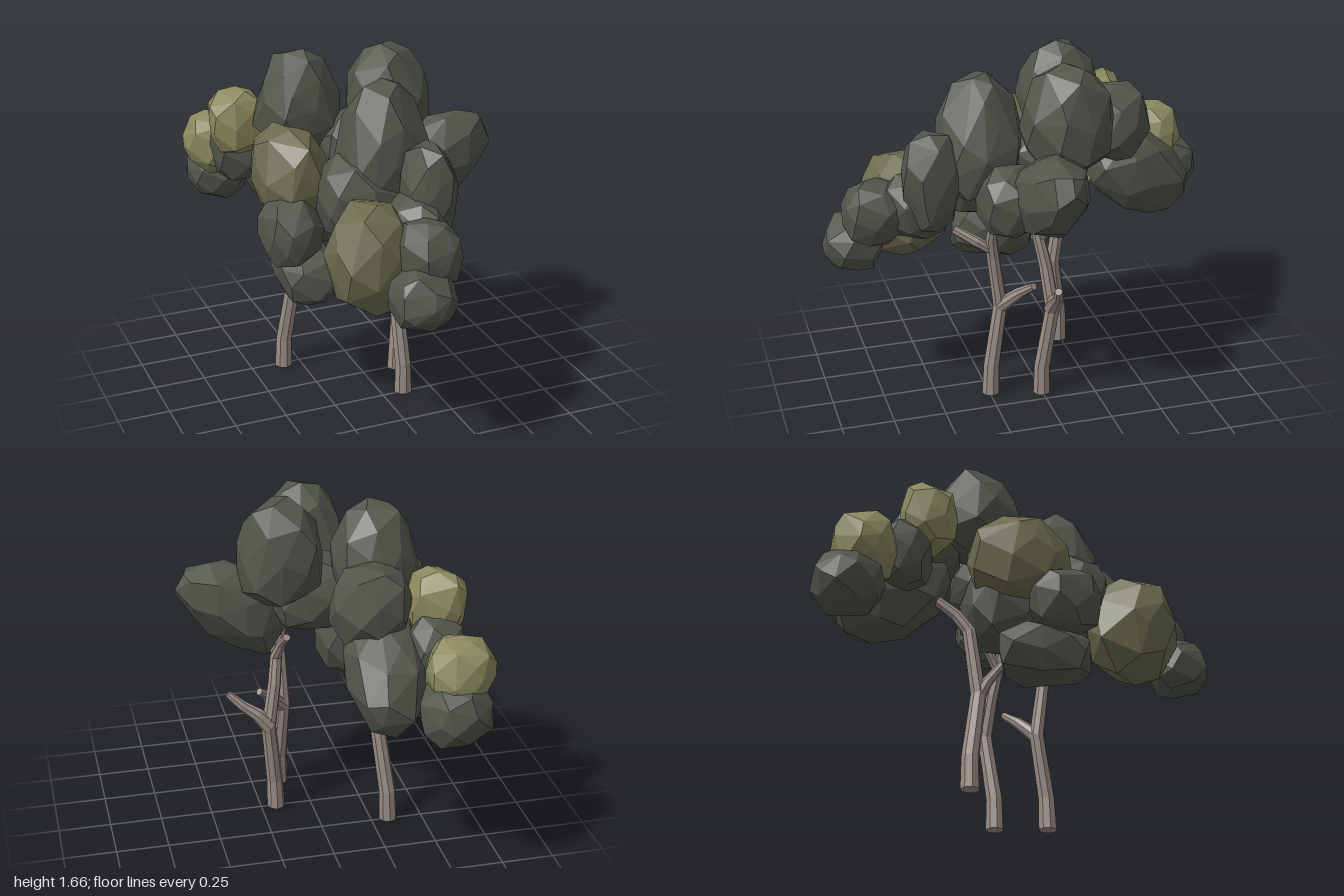
import * as THREE from 'three';
import { ConvexGeometry } from 'three/addons/geometries/ConvexGeometry.js';

const mat = (color) => new THREE.MeshStandardMaterial({ color, flatShading: true });
const DARK = mat(0x51554a), OLIVE = mat(0x6c6b4f), LIGHT = mat(0x8a895f), BARK = mat(0x998c85);

// small seeded generator
function seeded(seed) {
  let s = seed * 7919 + 17;
  return () => (s = (s * 16807) % 2147483647) / 2147483647;
}

// faceted leaf clump: convex hull of jittered points on a slightly boxy ellipsoid,
// narrowed towards its own top by the taper
function clump(name, material, centre, radii, seed, taper = 0, tilt = [0, 0, 0]) {
  const rnd = seeded(seed), n = 32, pts = [], size = new THREE.Vector3(...radii);
  for (let k = 0; k < 20; k++) rnd();
  for (let i = 0; i < n; i++) {
    const y = 1 - (2 * i + 1) / n, r = Math.sqrt(1 - y * y);
    const a = i * 2.39996 + seed + (rnd() - 0.5) * 0.5;
    const p = new THREE.Vector3(r * Math.cos(a), y + (rnd() - 0.5) * 0.15, r * Math.sin(a));
    const norm = Math.pow(Math.abs(p.x) ** 2.6 + Math.abs(p.y) ** 2.6 + Math.abs(p.z) ** 2.6, 1 / 2.6);
    p.multiplyScalar((0.97 + rnd() * 0.1) / norm);
    const s = 1 - taper * p.y;
    pts.push(p.set(p.x * s, p.y, p.z * s).multiply(size));
  }
  const mesh = new THREE.Mesh(new ConvexGeometry(pts), material);
  mesh.position.set(...centre);
  mesh.rotation.set(...tilt);
  mesh.name = name;
  return mesh;
}

// tapering eight-sided limb through the given points, with closed ends
function limb(name, path, r0, r1) {
  const pts = path.map((p) => new THREE.Vector3(...p));
  const sides = 8, last = pts.length - 1, pos = [], idx = [];
  pts.forEach((p, i) => {
    const t = pts[Math.min(i + 1, last)].clone().sub(pts[Math.max(i - 1, 0)]).normalize();
    if (i === 0 && p.y === 0) t.set(0, 1, 0);
    const q = new THREE.Quaternion().setFromUnitVectors(new THREE.Vector3(0, 1, 0), t);
    const r = r0 + (r1 - r0) * (i / last);
    for (let k = 0; k < sides; k++) {
      const a = (k / sides) * Math.PI * 2;
      pos.push(...new THREE.Vector3(Math.cos(a) * r, 0, Math.sin(a) * r).applyQuaternion(q).add(p).toArray());
    }
  });
  for (let i = 0; i < last; i++) {
    for (let k = 0; k < sides; k++) {
      const a = i * sides + k, b = i * sides + (k + 1) % sides;
      idx.push(a, a + sides, b, b, a + sides, b + sides);
    }
  }
  for (let k = 1; k < sides - 1; k++) {
    const e = last * sides;
    idx.push(0, k, k + 1, e, e + k + 1, e + k);
  }
  const g = new THREE.BufferGeometry();
  g.setAttribute('position', new THREE.Float32BufferAttribute(pos, 3));
  g.setIndex(idx);
  const flat = g.toNonIndexed();
  flat.computeVertexNormals();
  const mesh = new THREE.Mesh(flat, BARK);
  mesh.name = name;
  return mesh;
}

export function createModel() {
  const model = new THREE.Group();
  model.name = 'treeGroup';

  // trunks and branches
  const wood = new THREE.Group();
  wood.name = 'trunks';
  wood.add(
    limb('backTrunk', [[-0.335, 0, -0.24], [-0.33, 0.15, -0.24], [-0.29, 0.47, -0.195], [-0.29, 0.78, -0.24], [-0.28, 0.86, -0.3], [-0.26, 0.94, -0.4]], 0.045, 0.025),
    limb('backBranch', [[-0.29, 0.45, -0.2], [-0.31, 0.53, -0.16], [-0.33, 0.62, -0.09]], 0.034, 0.018),
    limb('frontTrunk', [[0.11, 0, 0.24], [0.11, 0.15, 0.235], [0.095, 0.46, 0.185], [0.105, 0.76, 0.225], [0.1, 0.81, 0.3], [0.06, 0.87, 0.4]], 0.045, 0.022),
    limb('frontFork', [[0.105, 0.73, 0.22], [0.13, 0.83, 0.235], [0.17, 0.95, 0.23]], 0.032, 0.022),
    limb('frontBranch', [[0.1, 0.46, 0.185], [0.17, 0.55, 0.11], [0.24, 0.61, 0.06]], 0.036, 0.018),
    limb('middleTrunk', [[0.175, 0, 0], [0.18, 0.15, 0], [0.215, 0.47, -0.04], [0.18, 0.68, -0.015], [0.16, 0.85, 0.02], [0.12, 1.0, 0.04]], 0.044, 0.024),
    limb('middleFork', [[0.165, 0.82, 0.01], [0.15, 0.9, -0.04], [0.14, 0.97, -0.12]], 0.028, 0.018),
    limb('middleBranch', [[0.21, 0.47, -0.04], [0.27, 0.54, -0.04], [0.34, 0.59, -0.03], [0.405, 0.65, -0.01]], 0.042, 0.018)
  );
  model.add(wood);

  // leaf clumps: name, colour, centre, radii, optional taper and tilt
  const leaves = new THREE.Group();
  leaves.name = 'foliage';
  [
    ['backEndClump', DARK, [-0.46, 0.87, -0.83], [0.155, 0.145, 0.16]],
    ['backLightClump', LIGHT, [-0.49, 1.04, -0.77], [0.15, 0.155, 0.15]],
    ['backLargeClump', DARK, [-0.2, 0.965, -0.59], [0.18, 0.19, 0.28], 0, [-0.6, 0, 0]],
    ['backInnerClump', DARK, [-0.43, 1.06, -0.58], [0.13, 0.16, 0.13]],
    ['sideLightClump', LIGHT, [-0.465, 1.24, -0.48], [0.135, 0.16, 0.135]],
    ['backUpperClump', DARK, [-0.17, 1.24, -0.44], [0.18, 0.19, 0.185]],
    ['topBackClump', DARK, [-0.25, 1.41, -0.21], [0.19, 0.235, 0.19], 0.25],
    ['sideOliveClump', OLIVE, [-0.37, 1.13, -0.02], [0.165, 0.21, 0.24]],
    ['topClump', DARK, [0.17, 1.4, -0.12], [0.19, 0.245, 0.205], 0.15],
    ['outerClump', DARK, [0.37, 1.12, 0.01], [0.18, 0.29, 0.16], 0.25, [0, 0, -1.03]],
    ['topFrontClump', DARK, [-0.01, 1.31, 0.25], [0.21, 0.3, 0.2], 0.3],
    ['lowerOuterClump', DARK, [0.22, 1.05, 0.17], [0.16, 0.17, 0.15]],
    ['frontTallClump', DARK, [0.1, 1.14, 0.51], [0.12, 0.235, 0.135]],
    ['frontOliveClump', OLIVE, [-0.21, 0.92, 0.57], [0.19, 0.25, 0.21]],
    ['frontUpperClump', DARK, [-0.01, 0.97, 0.76], [0.14, 0.15, 0.15]],
    ['frontEndClump', DARK, [-0.08, 0.81, 0.85], [0.145, 0.135, 0.14]],
    ['sideLowClump', DARK, [-0.43, 0.91, 0.17], [0.14, 0.16, 0.165]],
    ['lowestClump', DARK, [-0.34, 0.68, 0.1], [0.14, 0.145, 0.225]],
    ['innerClump', DARK, [-0.21, 0.95, -0.07], [0.2, 0.21, 0.19]],
    ['innerFrontClump', DARK, [-0.14, 1.08, 0.27], [0.2, 0.2, 0.21]],
    ['innerTopClump', DARK, [0.02, 1.18, -0.06], [0.2, 0.18, 0.2]],
    ['frontFillClump', DARK, [0.01, 1.0, 0.56], [0.13, 0.16, 0.16]],
  ].forEach(([name, m, c, r, taper, tilt], i) => leaves.add(clump(name, m, c, r, i + 1, taper, tilt)));
  model.add(leaves);

  return model;
}
